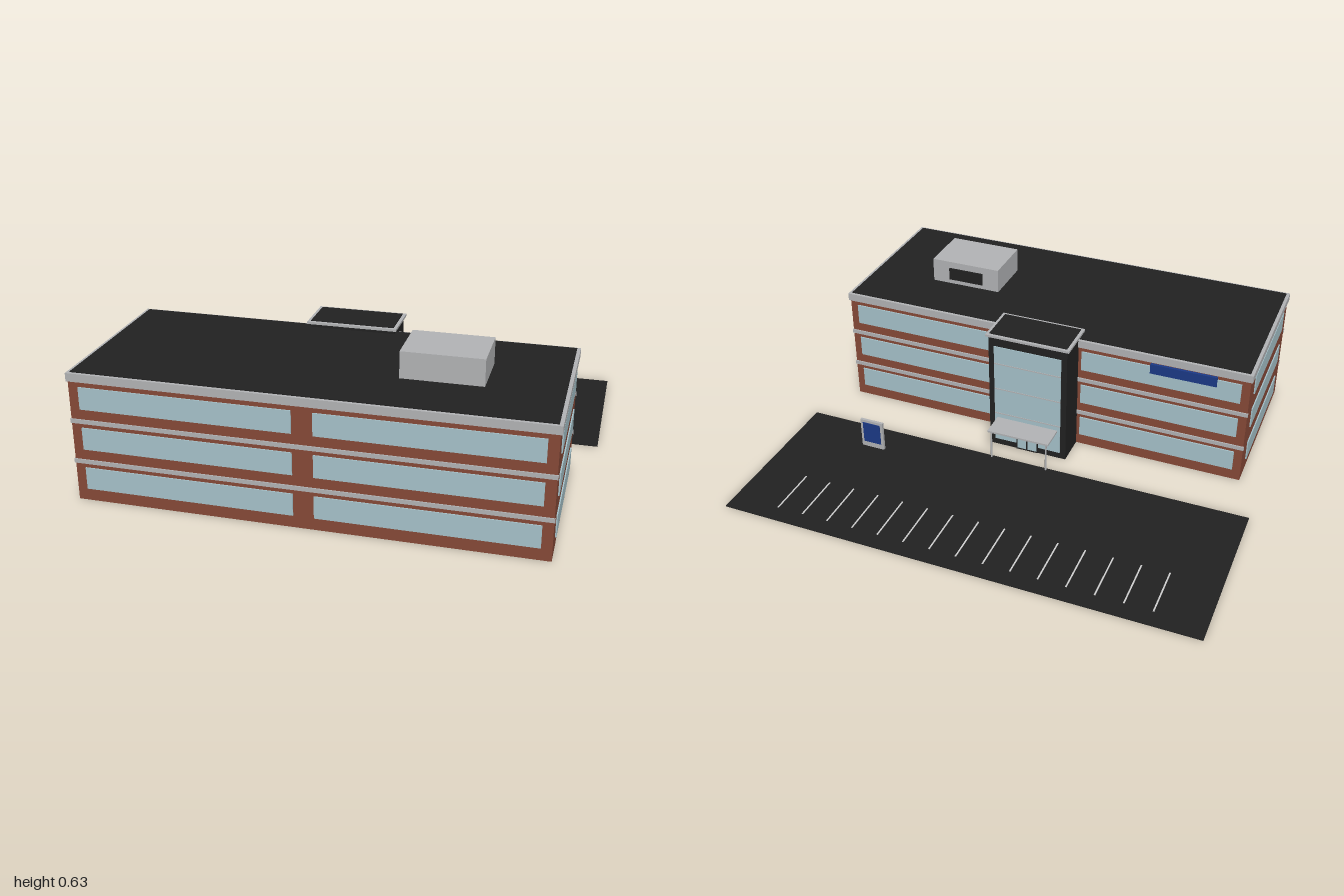
import * as THREE from 'three';

const mat = (name, color) => {
  const m = new THREE.MeshStandardMaterial({ color });
  m.name = name;
  return m;
};

export function createModel() {
  const model = new THREE.Group();
  model.name = 'officeBuilding';
  const brick = mat('brick', 0x874a38);
  const glass = mat('glass', 0xa8c4cc);
  const trim = mat('trim', 0xb4b5b7);
  const dark = mat('dark', 0x222222);
  const blue = mat('signBlue', 0x1c3a88);
  const paint = mat('linePaint', 0xd0d0d0);

  // Box given by its limits on each axis
  const box = (name, material, x0, x1, y0, y1, z0, z1, parent = model) => {
    const mesh = new THREE.Mesh(new THREE.BoxGeometry(x1 - x0, y1 - y0, z1 - z0), material);
    mesh.position.set((x0 + x1) / 2, (y0 + y1) / 2, (z0 + z1) / 2);
    mesh.name = name;
    parent.add(mesh);
    return mesh;
  };
  const group = (name) => {
    const g = new THREE.Group();
    g.name = name;
    model.add(g);
    return g;
  };

  // Main block with parapet and flat roof
  box('brickBlock', brick, -0.905, 0.905, 0, 0.492, 0.112, 0.835);
  box('parapet', trim, -0.912, 0.912, 0.492, 0.525, 0.105, 0.838);
  box('roof', dark, -0.898, 0.898, 0.525, 0.529, 0.118, 0.825);

  // Window strips on all four sides, one row per floor
  const windows = group('windows');
  for (const y of [0.05, 0.217, 0.383]) {
    const top = y + 0.09;
    for (const s of [-1, 1]) {
      const strip = (a, b) => [Math.min(s * a, s * b), Math.max(s * a, s * b)];
      box('frontWindow', glass, ...strip(0.04, 0.865), y, top, 0.833, 0.84, windows);
      box('backWindow', glass, ...strip(0.19, 0.87), y, top, 0.106, 0.114, windows);
      box('sideWindow', glass, ...strip(0.903, 0.91), y, top, 0.2, 0.752, windows);
    }
  }

  // Pale bands between floors on the long sides
  const bands = group('floorBands');
  for (const y of [0.157, 0.324]) {
    box('frontBand', trim, -0.908, 0.908, y, y + 0.017, 0.833, 0.84, bands);
    box('backBand', trim, -0.908, 0.908, y, y + 0.017, 0.106, 0.114, bands);
  }
  box('wallSign', blue, -0.77, -0.49, 0.442, 0.486, 0.1, 0.112);

  // Entrance tower with glazed face and rimmed cap
  const tower = group('entranceTower');
  box('towerBody', dark, -0.175, 0.175, 0, 0.545, -0.026, 0.15, tower);
  box('towerCap', trim, -0.185, 0.185, 0.543, 0.553, -0.035, 0.16, tower);
  box('towerRoof', dark, -0.172, 0.172, 0.553, 0.556, -0.022, 0.147, tower);
  box('towerGlass', glass, -0.15, 0.15, 0.03, 0.5, -0.03, -0.026, tower);
  for (const y of [0.165, 0.29, 0.415])
    box('mullion', trim, -0.15, 0.15, y, y + 0.005, -0.032, -0.029, tower);
  box('entranceDoor', dark, -0.05, 0.05, 0.002, 0.1, -0.032, -0.026, tower);
  for (const s of [-1, 1])
    box('doorPane', glass, s * 0.024 - 0.02, s * 0.024 + 0.02, 0.01, 0.092, -0.034, -0.031, tower);

  // Canopy on two slim posts
  const canopy = group('canopy');
  box('canopySlab', trim, -0.138, 0.138, 0.137, 0.145, -0.14, -0.026, canopy);
  for (const s of [-1, 1]) {
    const post = new THREE.Mesh(new THREE.CylinderGeometry(0.004, 0.004, 0.137, 10), trim);
    post.position.set(s * 0.125, 0.0685, -0.13);
    post.name = 'canopyPost';
    canopy.add(post);
  }

  // Rooftop plant with vent
  box('rooftopUnit', trim, 0.295, 0.61, 0.525, 0.635, 0.358, 0.585);
  box('rooftopVent', dark, 0.37, 0.53, 0.55, 0.605, 0.352, 0.358);

  // Parking lot with painted bay lines
  const lot = group('parkingLot');
  box('asphalt', dark, -1, 1, 0, 0.004, -0.84, -0.12, lot);
  for (let i = 0; i < 15; i++) {
    const x = -0.795 + (i * 1.59) / 14;
    box('bayLine', paint, x - 0.003, x + 0.003, 0.004, 0.006, -0.77, -0.55, lot);
  }

  // Free-standing sign board, blue on both faces
  const sign = group('roadSign');
  box('signBoard', trim, 0.58, 0.685, 0, 0.14, -0.26, -0.248, sign);
  box('signPanelBack', blue, 0.592, 0.673, 0.03, 0.128, -0.263, -0.26, sign);
  box('signPanelFront', blue, 0.592, 0.673, 0.03, 0.128, -0.248, -0.245, sign);

  return model;
}
